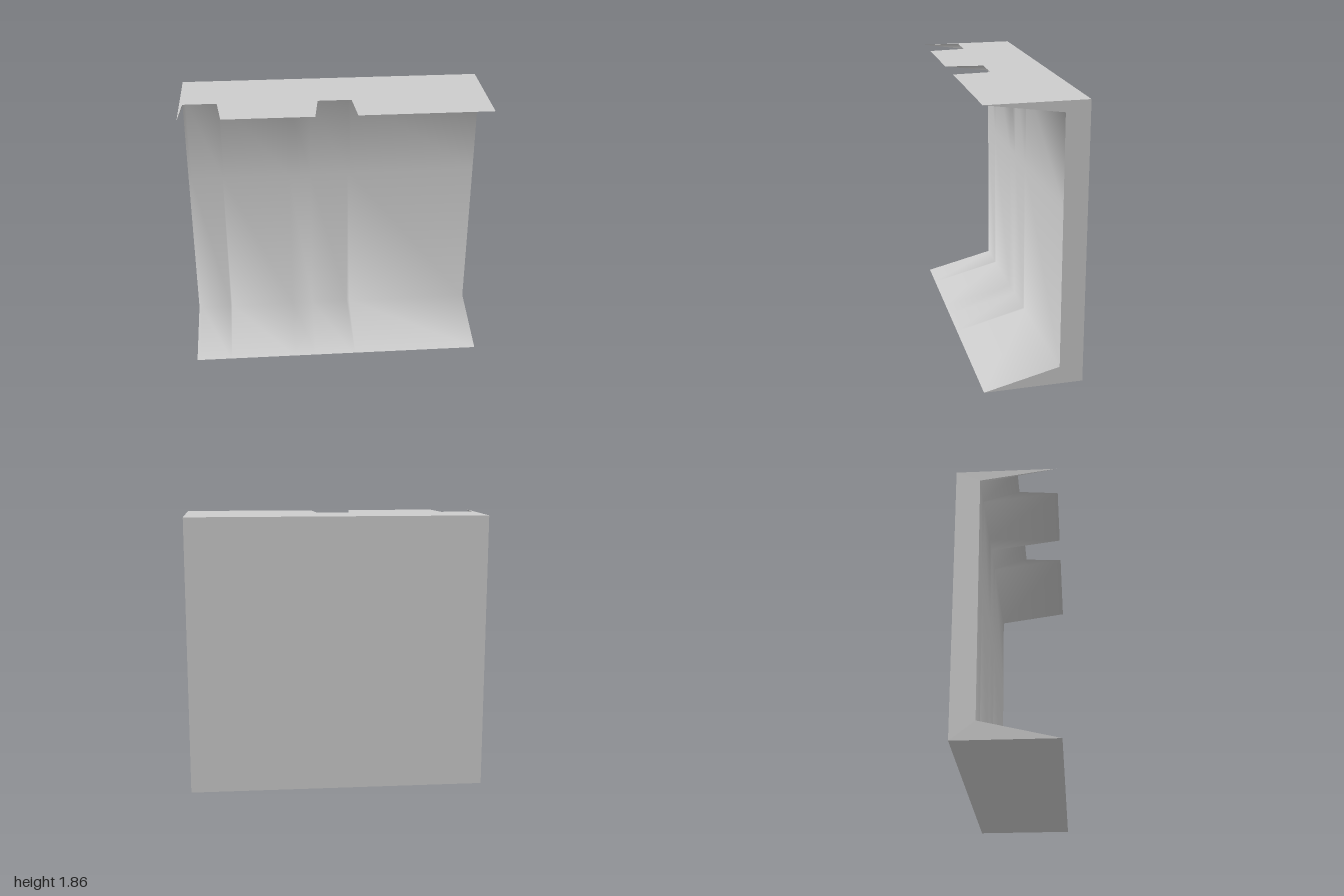
import * as THREE from 'three';

const H = 1.855, FRONT = 0.325, BACK = -0.325, WALL = -0.17, NOTCH = 0.07;

// Front edge of the top flange, with two flared notches: [x, z, x where it meets the wall]
const rim = [
  [-1, FRONT, -1], [-0.98, NOTCH, -0.98], [-0.76, NOTCH, -0.765], [-0.73, FRONT, -0.755],
  [-0.14, FRONT, -0.3], [-0.11, NOTCH, -0.15], [0.11, NOTCH, 0.11], [0.13, FRONT, 0.13], [1, FRONT, 1],
];

// C-shaped section of the channel: [z, y]
const section = [
  [BACK, 0], [FRONT, 0], [WALL, 0.12], [WALL, 1.785], [FRONT, H], [BACK, H],
];

const flat = (points) => new THREE.ShapeGeometry(
  new THREE.Shape(points.map(([x, y]) => new THREE.Vector2(x, y))));

// Inner skin: sloped foot, wall and underside of the lip, blended by smooth normals
function innerSkin() {
  const rows = [
    ([, , x]) => [x, 0, FRONT],
    ([, , x]) => [x, 0.12, WALL],
    ([, , x]) => [x, 1.2, WALL],
    ([, , x]) => [x, 1.785, WALL],
    ([x, z]) => [x, H, z],
  ];
  const positions = rows.flatMap((row) => rim.flatMap(row));
  const index = [], n = rim.length;
  for (let r = 0; r < rows.length - 1; r++) {
    for (let c = 0; c < n - 1; c++) {
      const a = r * n + c, b = a + 1, d = a + n, e = d + 1;
      index.push(a, b, d, b, e, d);
    }
  }
  const geometry = new THREE.BufferGeometry();
  geometry.setAttribute('position', new THREE.Float32BufferAttribute(positions, 3));
  geometry.setIndex(index);
  geometry.computeVertexNormals();
  return geometry;
}

export function createModel() {
  const group = new THREE.Group();
  group.name = 'notchedChannel';
  const material = new THREE.MeshStandardMaterial({ color: 0xcccccc, side: THREE.DoubleSide });
  const add = (name, geometry) => {
    const mesh = new THREE.Mesh(geometry, material);
    mesh.name = name;
    group.add(mesh);
  };

  add('innerSkin', innerSkin());

  // Notched top flange
  const top = [...rim.map(([x, z]) => [x, -z]), [1, -BACK], [-1, -BACK]];
  add('topFlange', flat(top).rotateX(-Math.PI / 2).translate(0, H, 0));

  // Plain base and back
  add('base', new THREE.PlaneGeometry(2, FRONT - BACK).rotateX(Math.PI / 2));
  add('back', new THREE.PlaneGeometry(2, H).rotateY(Math.PI).translate(0, H / 2, BACK));

  // End caps
  add('leftEnd', flat(section.map(([z, y]) => [-z, y])).rotateY(Math.PI / 2).translate(1, 0, 0));
  add('rightEnd', flat(section).rotateY(-Math.PI / 2).translate(-1, 0, 0));
  return group;
}
